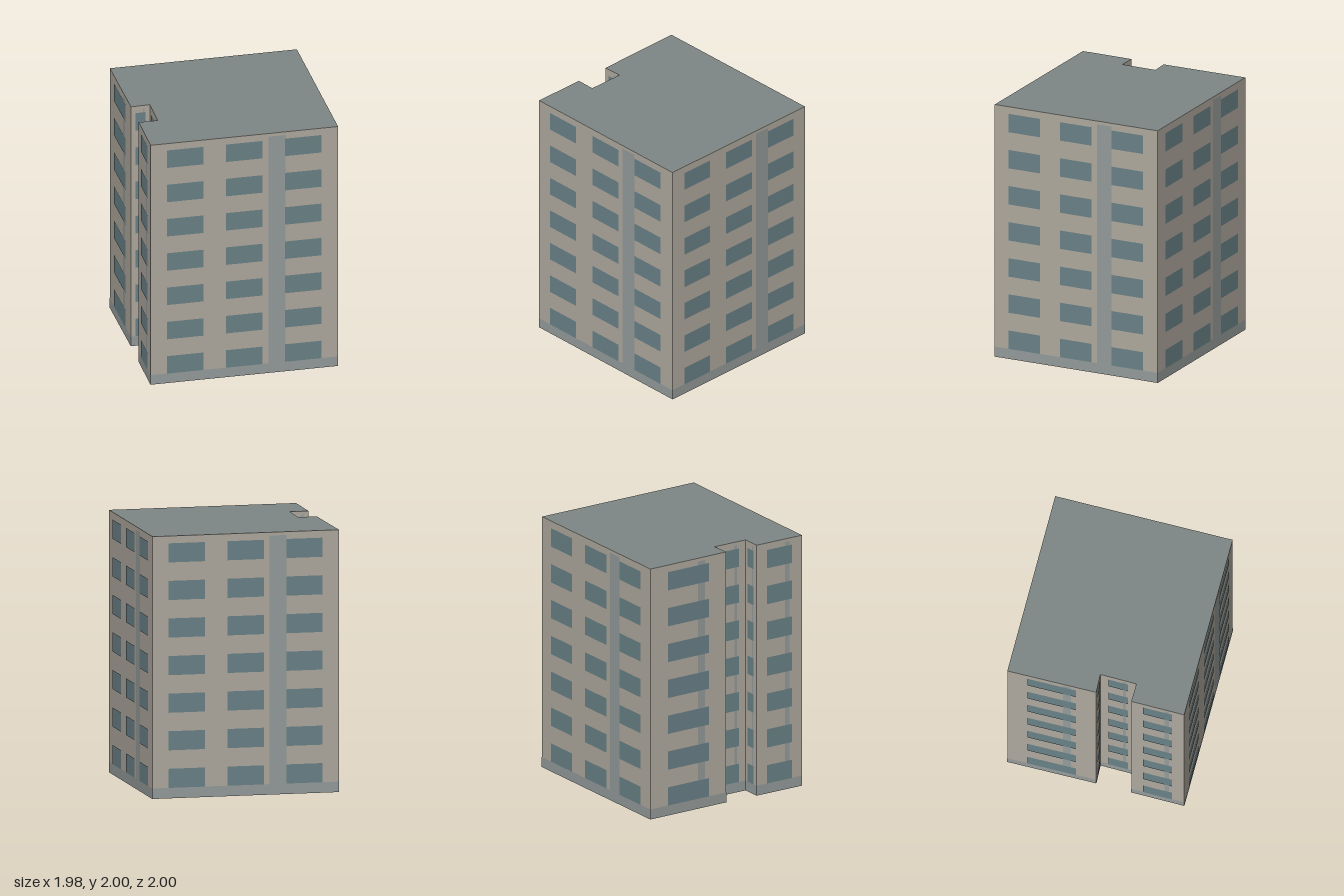
import * as THREE from 'three';

const HEIGHT = 2, PLINTH = 0.08, FLOORS = 7, PITCH = 0.2865, WINDOW_H = 0.146;

// Footprint corners (x, z), ordered left to right as seen from outside
const FOOTPRINT = [
  [-0.99, 0.15], [-0.44, 0.57], [-0.355, 0.45], [-0.135, 0.625],
  [-0.225, 0.74], [0.10, 0.995], [0.985, -0.155], [-0.11, -1.0],
];

const paint = (color, side = THREE.FrontSide) => new THREE.MeshStandardMaterial({ color, side });
const wallMat = paint(0xb0aa9f, THREE.DoubleSide);
const roofMat = paint(0x7e8885, THREE.DoubleSide);
const trimMat = paint(0x959c9b);
const glassMat = paint(0x6a8288);

// Flat panel spanning x0..x1, y0..y1 of a wall, standing off it by z
function panel(name, mat, x0, x1, y0, y1, z) {
  const mesh = new THREE.Mesh(new THREE.PlaneGeometry(x1 - x0, y1 - y0), mat);
  mesh.position.set((x0 + x1) / 2, (y0 + y1) / 2, z);
  mesh.name = name;
  return mesh;
}

// One facade: wall, plinth band, vertical strip and rows of windows
function facade([ax, az], [bx, bz]) {
  const g = new THREE.Group();
  g.name = 'facade';
  const w = Math.hypot(bx - ax, bz - az);
  g.position.set(ax, 0, az);
  g.rotation.y = Math.atan2(az - bz, bx - ax);

  g.add(panel('wall', wallMat, 0, w, 0, HEIGHT, 0));
  g.add(panel('plinth', trimMat, 0, w, 0, PLINTH, 0.002));
  g.add(panel('verticalStrip', trimMat, 0.628 * w, 0.718 * w, PLINTH, 1.975, 0.002));

  // Long walls carry three bays, short ones a single wide bay
  const bays = w > 1 ? [[0.086, 0.281], [0.402, 0.597], [0.717, 0.912]] : [[0.228, 0.772]];
  for (let floor = 0; floor < FLOORS; floor++) {
    const y = PLINTH + floor * PITCH;
    for (const [u0, u1] of bays) {
      g.add(panel('window', glassMat, u0 * w, u1 * w, y, y + WINDOW_H, 0.004));
    }
  }
  return g;
}

export function createModel() {
  const building = new THREE.Group();
  building.name = 'apartmentBlock';

  FOOTPRINT.forEach((p, i) => building.add(facade(p, FOOTPRINT[(i + 1) % FOOTPRINT.length])));

  // Flat roof; the underside is left open
  const outline = new THREE.Shape(FOOTPRINT.map(([x, z]) => new THREE.Vector2(x, -z)));
  const roof = new THREE.Mesh(new THREE.ShapeGeometry(outline), roofMat);
  roof.name = 'roof';
  roof.rotation.x = -Math.PI / 2;
  roof.position.y = HEIGHT;
  building.add(roof);

  return building;
}
